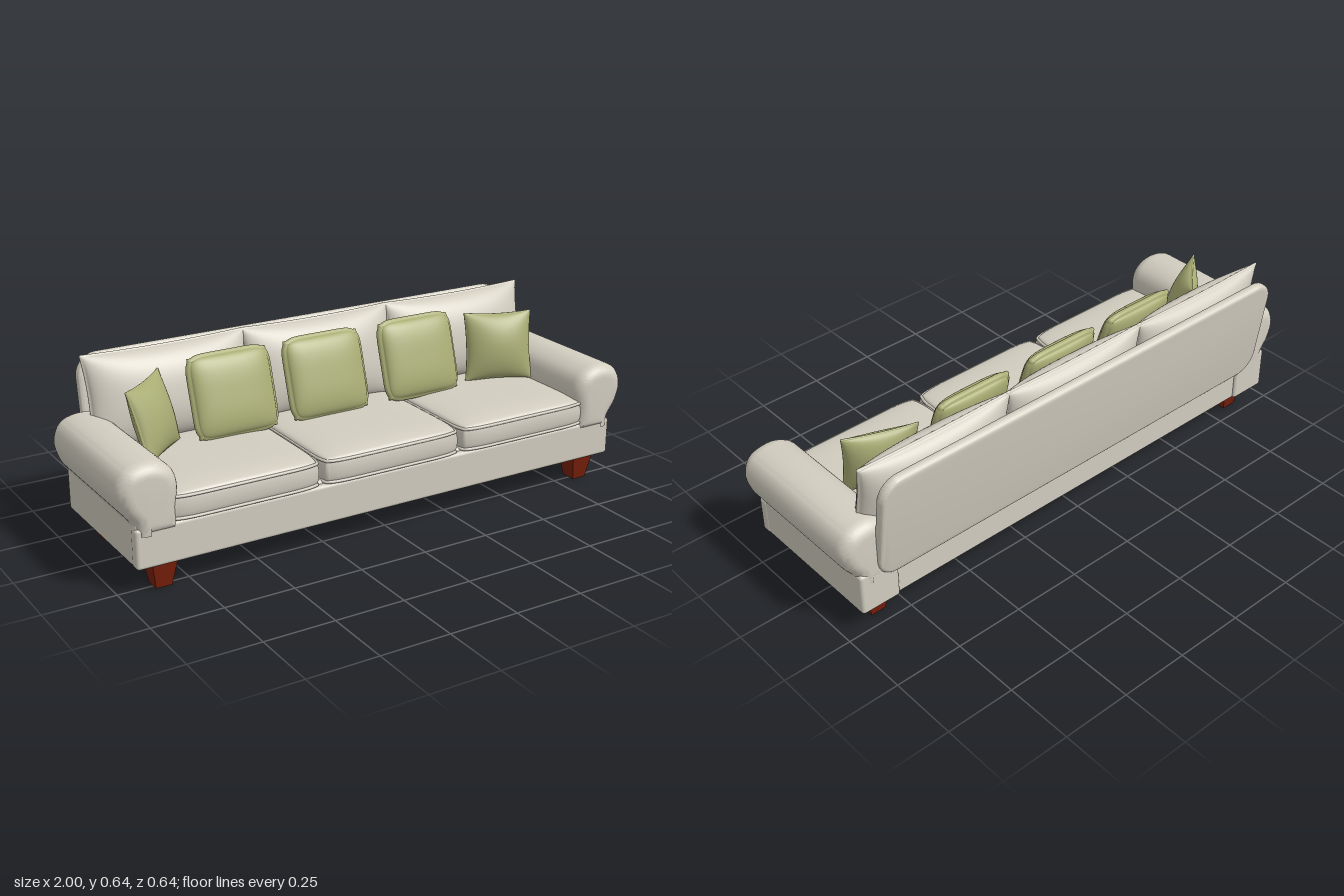
import * as THREE from 'three';
import { mergeVertices, toCreasedNormals } from 'three/addons/utils/BufferGeometryUtils.js';
import { RoundedBoxGeometry } from 'three/addons/geometries/RoundedBoxGeometry.js';

const material = (name, color) => Object.assign(new THREE.MeshStandardMaterial({ color }), { name });

// Outline rule shared by cushions and piping: k rounds the corners, pinch draws the sides in.
function outline(u, v, { w, h, k = 0, pinch = 0 }) {
  return [
    (w / 2) * u * (1 - k * v ** 8) * (1 - pinch * (1 - v * v)),
    (h / 2) * v * (1 - k * u ** 8) * (1 - pinch * (1 - u * u)),
  ];
}

// Stuffed cushion: width x, height y, thickness z; edge is half the rim thickness.
function cushionGeometry(o) {
  const { d, edge, bulge = edge, p = 2, q = 0.5 } = o;
  const geo = new THREE.BoxGeometry(2, 2, 2, 28, 28, 6);
  const pos = geo.attributes.position;
  const ease = (t) => (Math.abs(t) > 0.9999 ? Math.sign(t) : Math.sin((t * Math.PI) / 2));
  for (let i = 0; i < pos.count; i++) {
    const u = ease(pos.getX(i)), v = ease(pos.getY(i)), s = ease(pos.getZ(i));
    let [x, y] = outline(u, v, o);
    const out = bulge * Math.sqrt(Math.max(0, 1 - s * s));
    if (Math.abs(u) === 1) x += u * out;
    if (Math.abs(v) === 1) y += v * out;
    const puff = Math.max(0, (1 - Math.abs(u) ** p) * (1 - Math.abs(v) ** p)) ** q;
    pos.setXYZ(i, x, y, s * (edge + (d / 2 - edge) * puff));
  }
  geo.deleteAttribute('uv');
  geo.deleteAttribute('normal');
  const smooth = mergeVertices(geo, 1e-5);
  smooth.computeVertexNormals();
  return smooth;
}

// Cord that follows a cushion's rim.
function pipingGeometry(o, radius) {
  const points = [];
  const corners = [[-1, -1], [1, -1], [1, 1], [-1, 1]];
  corners.forEach(([a, b], i) => {
    const [c, e] = corners[(i + 1) % 4];
    for (let j = 0; j < 12; j++) {
      const t = (1 - Math.cos((j / 12) * Math.PI)) / 2;
      points.push(new THREE.Vector3(...outline(a + (c - a) * t, b + (e - b) * t, o), 0));
    }
  });
  return new THREE.TubeGeometry(new THREE.CatmullRomCurve3(points, true), 120, radius, 6, true);
}

function roundedRect(w, h, r) {
  const s = new THREE.Shape();
  s.absarc(w / 2 - r, h / 2 - r, r, 0, Math.PI / 2);
  s.absarc(-w / 2 + r, h / 2 - r, r, Math.PI / 2, Math.PI);
  s.absarc(-w / 2 + r, -h / 2 + r, r, Math.PI, Math.PI * 1.5);
  s.absarc(w / 2 - r, -h / 2 + r, r, Math.PI * 1.5, Math.PI * 2);
  return s;
}

export function createModel() {
  const sofa = new THREE.Group();
  sofa.name = 'sofa';
  const fabric = material('creamFabric', 0xd2cdc0);
  const green = material('greenFabric', 0xa9ad74);
  const wood = material('redWood', 0x7a200c);

  function add(name, geo, mat, x, y, z, lean = 0, yaw = 0, parent = sofa) {
    const mesh = new THREE.Mesh(geo, mat);
    mesh.name = name;
    mesh.position.set(x, y, z);
    mesh.rotation.set(lean, yaw, 0, 'YXZ');
    parent.add(mesh);
    return mesh;
  }
  const block = (name, w, h, d, x, y, z, r = 0.012) =>
    add(name, new RoundedBoxGeometry(w, h, d, 3, r), fabric, x, y, z);

  // Base and front panel
  block('base', 1.64, 0.15, 0.54, 0, 0.165, 0.015);
  block('frontPanel', 1.9, 0.14, 0.045, 0, 0.16, 0.2825);

  // Rolled arms: the outline is swept front to back with soft ends
  const rollPoints = [
    [0.8, 0.2], [0.945, 0.2], [0.95, 0.24], [0.983, 0.29], [1.0, 0.355], [0.98, 0.412], [0.935, 0.438],
    [0.87, 0.44], [0.815, 0.41], [0.793, 0.355], [0.8, 0.28],
  ].map(([x, y]) => new THREE.Vector2(x - 0.9, y));
  const rollShape = new THREE.Shape();
  rollShape.moveTo(rollPoints[0].x, rollPoints[0].y);
  rollShape.lineTo(rollPoints[1].x, rollPoints[1].y);
  rollShape.splineThru(rollPoints.slice(2));
  const rollGeo = toCreasedNormals(new THREE.ExtrudeGeometry(rollShape, {
    depth: 0.485, curveSegments: 5, bevelEnabled: true,
    bevelThickness: 0.05, bevelSize: 0.045, bevelOffset: -0.045, bevelSegments: 7,
  }), 0.7);
  for (const side of [-1, 1]) {
    const name = side > 0 ? 'left' : 'right';
    block(name + 'ArmBase', 0.15, 0.16, 0.56, side * 0.873, 0.17, 0.015);
    // The sweep is symmetric front to back, so a half turn mirrors it
    add(name + 'ArmRoll', rollGeo, fabric, side * 0.9, 0, 0.025 - side * 0.2425, 0, side > 0 ? 0 : Math.PI);
  }

  // Leaning back panel
  const backGeo = toCreasedNormals(new THREE.ExtrudeGeometry(roundedRect(1.76, 0.42, 0.08), {
    depth: 0.012, curveSegments: 10, bevelEnabled: true,
    bevelThickness: 0.013, bevelSize: 0.015, bevelOffset: -0.015, bevelSegments: 4,
  }), 0.7);
  add('backPanel', backGeo, fabric, 0, 0.408, -0.285, -0.14);

  // Seat and back cushions
  const seatSize = { w: 0.535, h: 0.5, d: 0.125, edge: 0.042, bulge: 0.01, k: 0.05, p: 4, q: 0.5 };
  const seatGeo = cushionGeometry(seatSize);
  const cordGeo = pipingGeometry({ ...seatSize, w: 0.545, h: 0.51 }, 0.006);
  const backCushionGeo = cushionGeometry({ w: 0.6, h: 0.325, d: 0.165, edge: 0.006, pinch: 0.04, p: 2.4, q: 0.55 });
  for (let i = -1; i <= 1; i++) {
    const seat = new THREE.Group();
    seat.name = 'seatCushion' + (i + 2);
    seat.position.set(i * 0.556, 0.276, 0.055);
    sofa.add(seat);
    add('cushionBody', seatGeo, fabric, 0, 0, 0, -Math.PI / 2, 0, seat);
    for (const y of [-0.04, 0.035]) add('piping', cordGeo, fabric, 0, y, 0, -Math.PI / 2, 0, seat);
    add('backCushion' + (i + 2), backCushionGeo, fabric, i * 0.592 + 0.005, 0.474, -0.195, -0.2);
  }

  // Green pillows: three rounded ones in the middle, a pointed one at each end
  const roundPillow = cushionGeometry({ w: 0.295, h: 0.275, d: 0.09, edge: 0.012, k: 0.08, p: 3, q: 0.5 });
  [-0.415, -0.048, 0.342].forEach((x, i) =>
    add('middlePillow' + (i + 1), roundPillow, green, x, 0.471, -0.065, -0.3));
  const pointedPillow = cushionGeometry({ w: 0.25, h: 0.25, d: 0.1, edge: 0.004, pinch: 0.06, p: 2, q: 0.6 });
  add('rightEndPillow', pointedPillow, green, -0.725, 0.455, -0.03, -0.28, 0.73);
  add('leftEndPillow', pointedPillow, green, 0.685, 0.46, -0.038, -0.2, -0.36);

  // Tapered square legs
  const legGeo = new THREE.CylinderGeometry(0.0445 * Math.SQRT2, 0.028 * Math.SQRT2, 0.095, 4, 1).toNonIndexed();
  legGeo.rotateY(Math.PI / 4);
  legGeo.computeVertexNormals();
  for (const x of [-0.848, 0.848])
    for (const z of [-0.173, 0.245])
      add((z > 0 ? 'front' : 'back') + (x > 0 ? 'Left' : 'Right') + 'Leg', legGeo, wood, x, 0.0475, z);

  return sofa;
}
